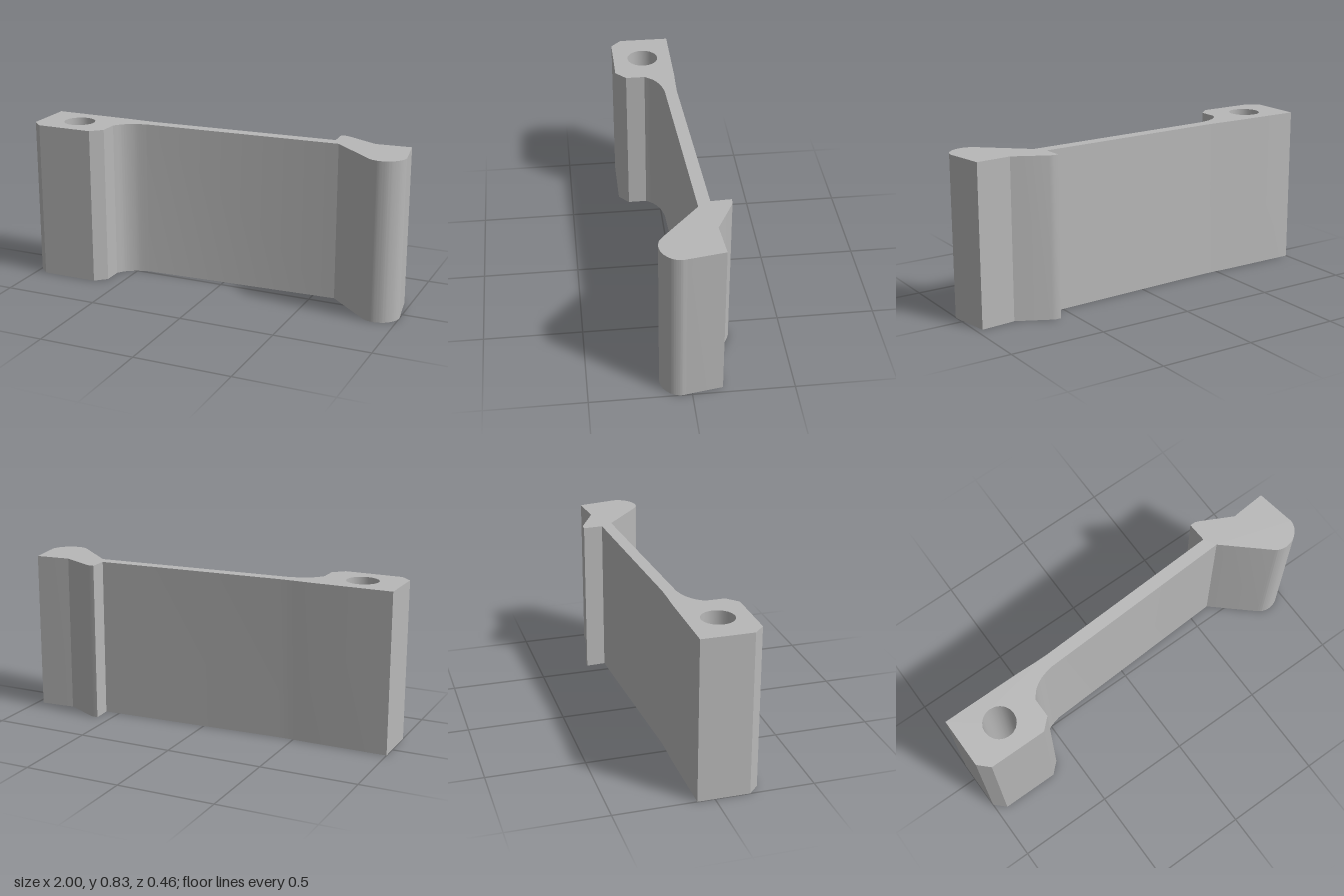
import * as THREE from 'three';
import { toCreasedNormals } from 'three/addons/utils/BufferGeometryUtils.js';

const HEIGHT = 0.83;

export function createModel() {
  const group = new THREE.Group();
  group.name = 'latchArm';
  const grey = new THREE.MeshStandardMaterial({ color: 0xb8b8b8 });
  grey.name = 'grey';

  // Plan outline in x, z (the shape's y is -z)
  const shape = new THREE.Shape();
  const line = (...pts) => pts.forEach(([x, z]) => shape.lineTo(x, -z));
  const curve = (...pts) => shape.splineThru(pts.map(([x, z]) => new THREE.Vector2(x, -z)));

  // Pivot block: chamfered front corners
  shape.moveTo(-1, 0.087);
  line([-1, 0.175], [-0.945, 0.229], [-0.645, 0.229], [-0.588, 0.175], [-0.588, 0.075]);
  // Fillet into the arm, then the arm's front face
  curve([-0.553, 0.032], [-0.5, 0], [-0.435, -0.018]);
  line([0.615, -0.065]);
  // Rounded grip at the free end
  line([0.83, 0.127]);
  curve([0.855, 0.143], [0.895, 0.15], [0.945, 0.137], [0.985, 0.1], [1, 0.06], [0.997, 0.03]);
  line([0.967, -0.152]);
  // Hook on the back of the free end
  line([0.825, -0.141], [0.785, -0.137], [0.75, -0.155], [0.62, -0.222]);
  line([0.6, -0.229], [0.573, -0.229], [0.578, -0.127]);
  // Back face of the arm
  line([-0.42, -0.083], [-0.5, -0.084], [-0.588, -0.087]);
  shape.closePath();

  // Pivot hole
  const hole = new THREE.Path();
  hole.absarc(-0.793, -0.068, 0.083, 0, Math.PI * 2, true);
  shape.holes.push(hole);

  const geometry = new THREE.ExtrudeGeometry(shape, { depth: HEIGHT, bevelEnabled: false, curveSegments: 10 });
  geometry.rotateX(-Math.PI / 2);
  const body = new THREE.Mesh(toCreasedNormals(geometry, 0.5), grey);
  body.name = 'latchBody';
  group.add(body);
  return group;
}
